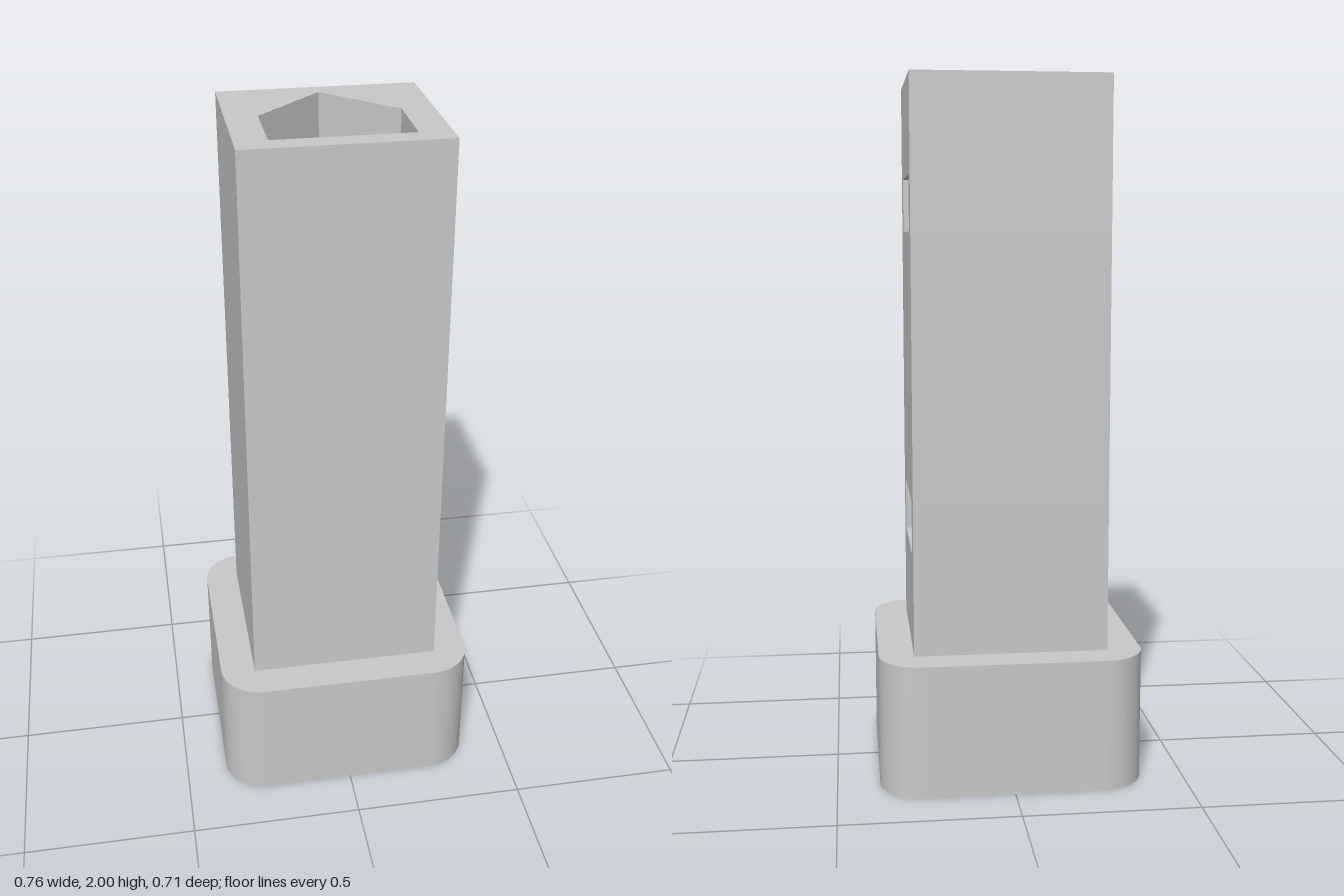
import * as THREE from 'three';
import { toCreasedNormals } from 'three/addons/utils/BufferGeometryUtils.js';

const HX = 0.278, HZ = 0.253; // half width and depth of the column
const BORE = 0.092; // radius of the through hole

// Closed outline from [x, y] points; shape y becomes -z once laid flat
const outline = (points) => new THREE.Shape(points.map(([x, y]) => new THREE.Vector2(x, y)));

const columnOutline = () => outline([[-HX, -HZ], [HX, -HZ], [HX, HZ], [-HX, HZ]]);

// Column section with a pointed nut slot opening on the +x side
function slotOutline() {
  const half = 0.178, step = 0.152, end = -0.026;
  return outline([
    [-HX, -HZ], [HX, -HZ], [HX, -half], [end, -half], [end, -step], [-half, 0],
    [end, step], [end, half], [HX, half], [HX, HZ], [-HX, HZ],
  ]);
}

function baseOutline() {
  const x = 0.378, y = 0.353, r = 0.12, q = Math.PI / 2;
  const s = new THREE.Shape();
  s.moveTo(-x + r, -y);
  s.absarc(x - r, -y + r, r, -q, 0);
  s.absarc(x - r, y - r, r, 0, q);
  s.absarc(-x + r, y - r, r, q, 2 * q);
  s.absarc(-x + r, -y + r, r, 2 * q, 3 * q);
  return s;
}

function withBore(shape, radius = BORE) {
  const hole = new THREE.Path();
  hole.absarc(0, 0, radius, 0, Math.PI * 2, true);
  shape.holes.push(hole);
  return shape;
}

// Horizontal slab between two heights
function slab(shape, y0, y1) {
  const g = new THREE.ExtrudeGeometry(shape, { depth: y1 - y0, bevelEnabled: false, curveSegments: 24 });
  g.rotateX(-Math.PI / 2);
  g.translate(0, y0, 0);
  return g;
}

export function createModel() {
  const model = new THREE.Group();
  model.name = 'post';
  const grey = new THREE.MeshStandardMaterial({ color: 0xc8c8c8 });
  grey.name = 'grey';

  const add = (parent, name, geometry) => {
    const mesh = new THREE.Mesh(toCreasedNormals(geometry, 0.5), grey);
    mesh.name = name;
    parent.add(mesh);
  };

  // Rounded foot, its hole countersunk from below
  const foot = new THREE.Group();
  foot.name = 'foot';
  model.add(foot);
  const sinkRadius = 0.18, sinkTop = 0.09;
  const sink = slab(withBore(baseOutline(), sinkRadius), 0, sinkTop);
  const p = sink.attributes.position;
  for (let i = 0; i < p.count; i++) {
    // narrow the hole's upper rim to the bore
    if (p.getY(i) > sinkTop / 2 && Math.hypot(p.getX(i), p.getZ(i)) < sinkRadius + 0.005) {
      const k = BORE / sinkRadius;
      p.setX(i, p.getX(i) * k);
      p.setZ(i, p.getZ(i) * k);
    }
  }
  add(foot, 'countersunkFoot', sink);
  add(foot, 'upperFoot', slab(withBore(baseOutline()), sinkTop, 0.38));

  // Square column: bored lengths between two side slots
  const column = new THREE.Group();
  column.name = 'column';
  model.add(column);
  const pocketFloor = 1.84;
  for (const [y0, y1] of [[0.38, 0.66], [0.815, 1.573], [1.728, pocketFloor]]) {
    add(column, 'columnLength', slab(withBore(columnOutline()), y0, y1));
  }
  for (const [y0, y1] of [[0.66, 0.815], [1.573, 1.728]]) {
    add(column, 'sideSlot', slab(slotOutline(), y0, y1));
  }

  // Five-sided pocket in the top, pointing to the back
  const top = columnOutline();
  top.holes.push(outline([[-0.19, -0.19], [-0.19, 0.013], [0, 0.203], [0.19, 0.013], [0.19, -0.19]]));
  add(column, 'topPocket', slab(top, pocketFloor, 2));

  return model;
}
